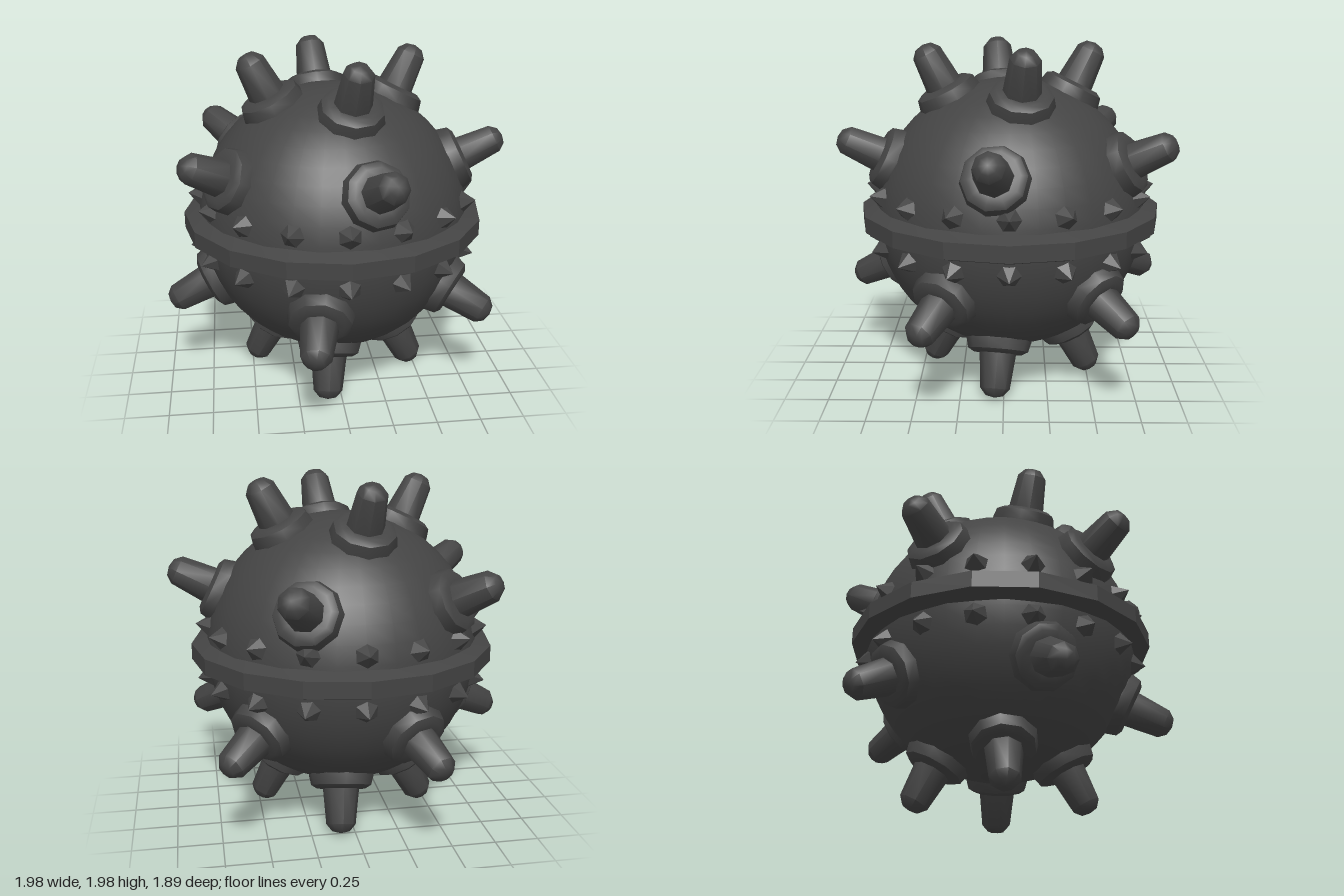
import * as THREE from 'three';
import { toCreasedNormals } from 'three/addons/utils/BufferGeometryUtils.js';

const UP = new THREE.Vector3(0, 1, 0);
const rad = THREE.MathUtils.degToRad;

// Surface of revolution with sharp edges above the crease angle
function lathe(profile, sides, crease) {
  const points = profile.map(([r, y]) => new THREE.Vector2(r, y));
  return toCreasedNormals(new THREE.LatheGeometry(points, sides), crease);
}

// Unit vector from azimuth (from +z towards +x) and elevation
function direction(azimuth, elevation) {
  const a = rad(azimuth), e = rad(elevation);
  return new THREE.Vector3(Math.cos(e) * Math.sin(a), Math.sin(e), Math.cos(e) * Math.cos(a));
}

export function createModel() {
  const model = new THREE.Group();
  model.name = 'spikedMine';
  const iron = new THREE.MeshStandardMaterial({ color: 0x444444 });
  iron.name = 'dark iron';

  const body = new THREE.Group();
  body.name = 'body';
  body.position.set(0, 0.995, -0.032);
  model.add(body);

  function add(parent, geometry, name, dir) {
    const mesh = new THREE.Mesh(geometry, iron);
    mesh.name = name;
    if (dir) mesh.quaternion.setFromUnitVectors(UP, dir);
    parent.add(mesh);
  }

  // Round shell and the sixteen-sided belt about its middle
  add(body, new THREE.SphereGeometry(0.787, 32, 24), 'shell');
  add(body, lathe([[0.773, -0.083], [0.873, -0.046], [0.873, 0.046], [0.773, 0.083]], 16, 0.2), 'belt');

  // Parts below are measured outwards from the middle of the shell
  const collar = lathe([[0.19, 0.74], [0.188, 0.77], [0.174, 0.825], [0.14, 0.845], [0.09, 0.845]], 10, 0.65);
  const horn = lathe([[0.112, 0.78], [0.085, 1.045], [0.05, 1.085], [0, 1.096]], 8, 0.8);
  const stud = lathe([[0.09, 0.75], [0, 0.86]], 6, 0.2);

  // The lower half is the upper half turned over
  for (const side of ['upper', 'lower']) {
    const half = new THREE.Group();
    half.name = side + 'Half';
    if (side === 'lower') half.rotation.z = Math.PI;
    body.add(half);

    // Four steep horns and five shallow ones
    const horns = [];
    for (let i = 0; i < 4; i++) horns.push(direction(10 + 90 * i, 63));
    for (let i = 0; i < 5; i++) horns.push(direction(12 + 72 * i, 26));
    for (const dir of horns) {
      add(half, collar, 'hornCollar', dir);
      add(half, horn, 'horn', dir);
    }

    // Row of studs beside the belt
    for (let i = 0; i < 16; i++) add(half, stud, 'stud', direction(22.5 * i, 11));
  }
  return model;
}
